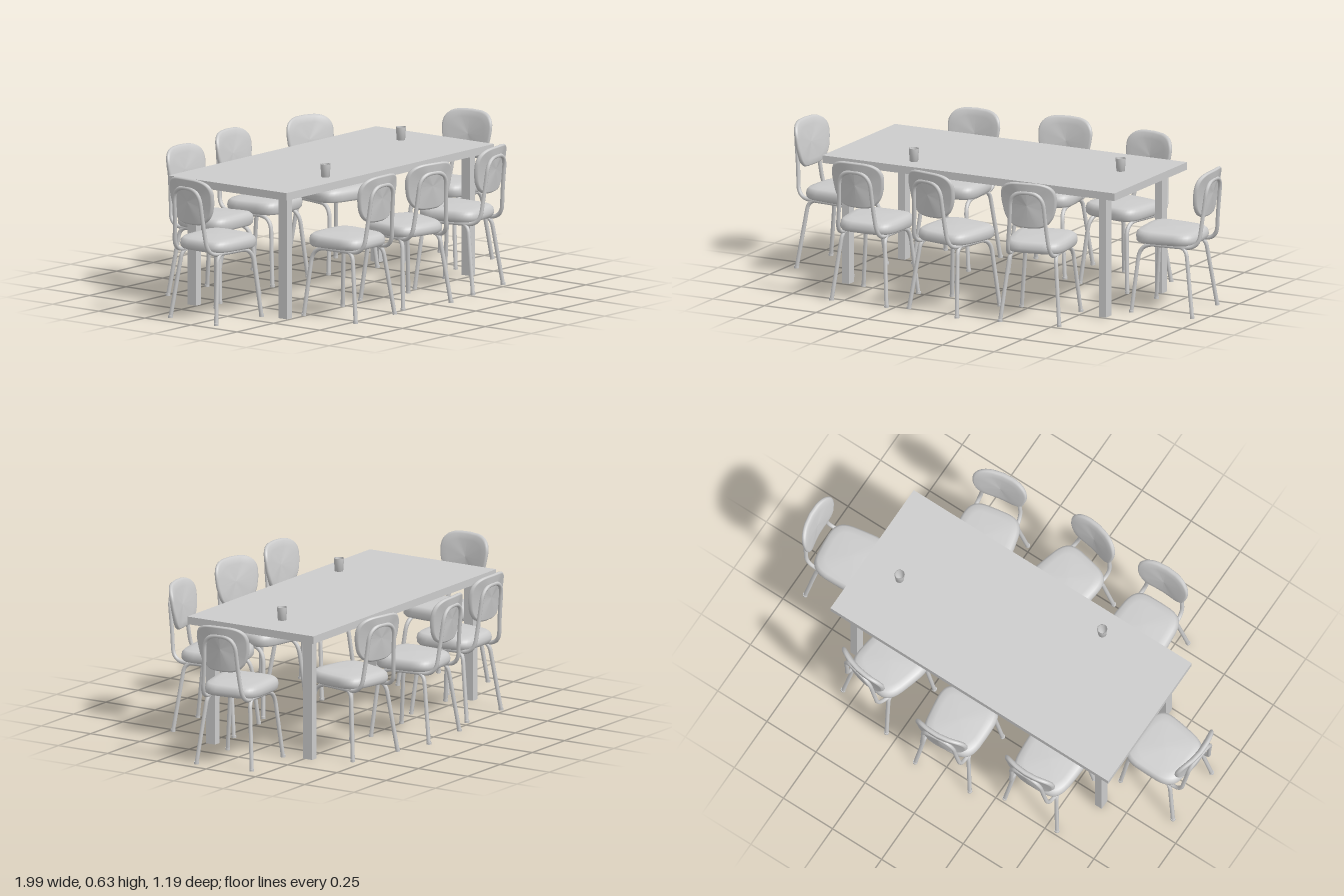
import * as THREE from 'three';

const material = new THREE.MeshStandardMaterial({ color: 0xcccccc });
const doubleSided = new THREE.MeshStandardMaterial({ color: 0xcccccc, side: THREE.DoubleSide });
const V = (x, y, z) => new THREE.Vector3(x, y, z);

function add(parent, name, geometry, x = 0, y = 0, z = 0, mat = material) {
  const mesh = new THREE.Mesh(geometry, mat);
  mesh.name = name;
  mesh.position.set(x, y, z);
  parent.add(mesh);
  return mesh;
}

// Tube along a polyline whose inner corners are rounded by the given radius
function bentTube(points, bend, segments) {
  const path = new THREE.CurvePath();
  let from = points[0];
  for (let i = 1; i < points.length - 1; i++) {
    const p = points[i], a = points[i - 1], b = points[i + 1];
    const r = Math.min(bend, p.distanceTo(a) * 0.48, p.distanceTo(b) * 0.48);
    const start = p.clone().add(a.clone().sub(p).setLength(r));
    const end = p.clone().add(b.clone().sub(p).setLength(r));
    path.add(new THREE.LineCurve3(from, start));
    path.add(new THREE.QuadraticBezierCurve3(start, p, end));
    from = end;
  }
  path.add(new THREE.LineCurve3(from, points[points.length - 1]));
  return new THREE.TubeGeometry(path, segments, 0.009, 8, false);
}

// Cushion: rings of a rounded outline, scaled by profile [scale, height], placed by a rule
function cushion(profile, place, sides = 40) {
  const positions = [], index = [];
  profile.forEach(([s, h]) => {
    for (let i = 0; i < sides; i++) {
      const t = (i / sides) * Math.PI * 2, c = Math.cos(t), n = Math.sin(t);
      const u = Math.sign(c) * Math.abs(c) ** 0.5 * s;
      const v = Math.sign(n) * Math.abs(n) ** 0.5 * s;
      positions.push(...place(u, v, h));
    }
  });
  for (let r = 0; r < profile.length - 1; r++) {
    for (let i = 0; i < sides; i++) {
      const j = (i + 1) % sides;
      const a = r * sides + i, b = r * sides + j, c = a + sides, d = b + sides;
      index.push(a, b, d, a, d, c);
    }
  }
  const g = new THREE.BufferGeometry();
  g.setAttribute('position', new THREE.Float32BufferAttribute(positions, 3));
  g.setIndex(index);
  g.computeVertexNormals();
  return g;
}

// Seat: flat below, crowned above, narrower towards the rear
const seatGeometry = cushion(
  [[0.001, 0.304], [0.9, 0.304], [0.94, 0.304], [0.985, 0.312], [1, 0.328],
    [0.975, 0.344], [0.9, 0.354], [0.7, 0.359], [0.001, 0.361]],
  (u, v, h) => [u * (0.135 - 0.009 * v), h + (h > 0.32 ? -0.004 * v : 0), 0.005 - v * 0.137]
);

// Backrest: reclined, curved round the sitter, narrower at the bottom
const backrestGeometry = cushion(
  [[0.001, 0], [0.92, 0], [0.96, 0.001], [1, 0.007], [0.985, 0.015], [0.92, 0.021], [0.7, 0.025], [0.001, 0.026]],
  (u, v, h) => {
    const x = u * (0.115 + 0.014 * v - 0.014 * v * v);
    const y = 0.525 + v * 0.103 - 0.35 * x * x * (v > 0 ? 1 : -1);
    return [x * 1.07, y, -0.181 - 0.016 * v + 2 * x * x + h];
  }
);

// One tube makes both front legs, the seat rails and the arched back support
const side = [V(0.133, 0, 0.14), V(0.104, 0.297, 0.112), V(0.098, 0.297, -0.155), V(0.082, 0.42, -0.167), V(0.072, 0.583, -0.186)];
const mirrored = side.map((p) => V(-p.x, p.y, p.z)).reverse();
const frameGeometry = bentTube([...side, ...mirrored], 0.065, 150);

const footGeometry = new THREE.CylinderGeometry(0.0105, 0.0105, 0.01, 10);

function chair(x, z, turn) {
  const g = new THREE.Group();
  g.name = 'chair';
  add(g, 'seat', seatGeometry);
  add(g, 'backrest', backrestGeometry);
  add(g, 'frontLegsAndBackSupport', frameGeometry);
  for (const s of [1, -1]) {
    add(g, 'rearLeg', bentTube([V(s * 0.133, 0, -0.142), V(s * 0.102, 0.298, -0.1), V(s * 0.085, 0.298, 0.03)], 0.04, 30));
    add(g, 'frontFoot', footGeometry, s * 0.133, 0.005, 0.14);
    add(g, 'rearFoot', footGeometry, s * 0.133, 0.005, -0.142);
  }
  g.position.set(x, 0, z);
  g.rotation.y = turn;
  return g;
}

export function createModel() {
  const model = new THREE.Group();
  model.name = 'diningSet';

  // Table
  const table = new THREE.Group();
  table.name = 'table';
  add(table, 'tableTop', new THREE.BoxGeometry(1.415, 0.033, 0.64), -0.0125, 0.545, -0.025);
  for (const x of [-0.636, 0.61]) {
    for (const z of [0.222, -0.271]) {
      add(table, 'tableLeg', new THREE.BoxGeometry(0.034, 0.53, 0.046), x, 0.265, z);
    }
  }
  model.add(table);

  // Tapered open cups
  const cupProfile = [[0, 0], [0.018, 0], [0.022, 0.056], [0.0195, 0.056], [0.016, 0.005], [0, 0.005]]
    .map(([r, y]) => new THREE.Vector2(r, y));
  const cup = new THREE.LatheGeometry(cupProfile, 24);
  add(model, 'cup', cup, -0.33, 0.5615, 0.197, doubleSided);
  add(model, 'cup', cup, 0.523, 0.5615, -0.073, doubleSided);

  // Chairs: x, z, turn
  const PI = Math.PI;
  for (const [x, z, turn] of [
    [-0.417, -0.34, 0], [0, -0.405, 0.07], [0.397, -0.345, -0.22],
    [-0.412, 0.39, PI], [-0.027, 0.39, PI - 0.2], [0.373, 0.36, PI + 0.17],
    [0.8, -0.04, -PI / 2 + 0.09], [-0.8, -0.022, PI / 2 - 0.08],
  ]) model.add(chair(x, z, turn));

  return model;
}
